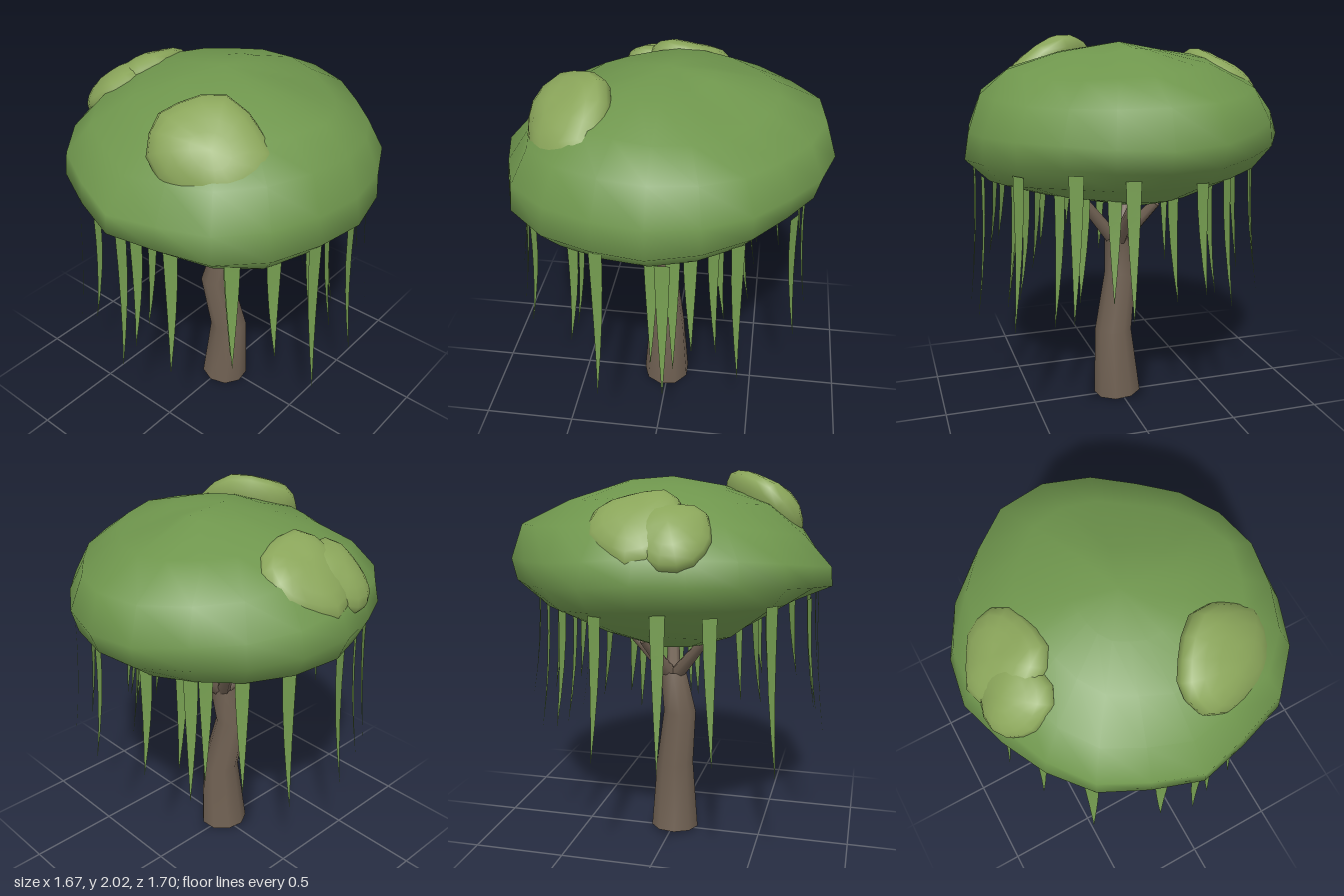
import * as THREE from 'three';
import { mergeVertices } from 'three/addons/utils/BufferGeometryUtils.js';

const mat = (color, side = THREE.FrontSide) => new THREE.MeshStandardMaterial({ color, side });
const BARK = mat(0x6f6052, THREE.DoubleSide);
const LEAF = mat(0x6f964d);
const LIGHT_LEAF = mat(0x8aa55a);
const STRAND = mat(0x759d50, THREE.DoubleSide);

function add(parent, name, geometry, material) {
  const mesh = new THREE.Mesh(geometry, material);
  mesh.name = name;
  parent.add(mesh);
  return mesh;
}

// Weld seams and give smooth normals
function smooth(geometry) {
  geometry.deleteAttribute('uv');
  geometry.deleteAttribute('normal');
  const welded = mergeVertices(geometry, 1e-4);
  welded.computeVertexNormals();
  return welded;
}

// Canopy outline seen from above: radius every 18 degrees from +x towards +z
const OUTLINE = [0.83, 0.83, 0.86, 0.87, 0.83, 0.85, 0.81, 0.82, 0.8, 0.8,
  0.84, 0.84, 0.82, 0.81, 0.86, 0.85, 0.82, 0.79, 0.81, 0.82];
const TOP = [0, 2], BOTTOM = [0, 1.14];
// Canopy profiles, top to bottom, as [radius fraction, height], every 45 degrees from +x towards +z
const PROFILES = [
  [[0.4, 1.95], [0.72, 1.87], [0.89, 1.75], [0.97, 1.56], [1, 1.42], [0.85, 1.3], [0.6, 1.24], [0.25, 1.2]],
  [[0.35, 1.95], [0.66, 1.87], [0.88, 1.75], [0.98, 1.57], [1, 1.42], [0.88, 1.31], [0.6, 1.21], [0.25, 1.15]],
  [[0.3, 1.94], [0.6, 1.86], [0.83, 1.7], [0.99, 1.55], [1, 1.45], [0.76, 1.36], [0.45, 1.22], [0.22, 1.13]],
  [[0.28, 1.95], [0.55, 1.89], [0.82, 1.78], [0.98, 1.64], [1, 1.52], [0.92, 1.41], [0.58, 1.21], [0.3, 1.13]],
  [[0.24, 1.96], [0.48, 1.93], [0.72, 1.83], [0.93, 1.67], [1, 1.55], [0.93, 1.42], [0.6, 1.25], [0.27, 1.13]],
  [[0.28, 1.96], [0.62, 1.89], [0.92, 1.77], [1, 1.6], [1, 1.48], [0.87, 1.36], [0.52, 1.22], [0.25, 1.15]],
  [[0.27, 1.98], [0.65, 1.87], [0.93, 1.75], [1, 1.56], [0.95, 1.45], [0.76, 1.34], [0.5, 1.23], [0.25, 1.17]],
  [[0.3, 1.94], [0.66, 1.84], [0.89, 1.73], [1, 1.58], [0.98, 1.46], [0.85, 1.35], [0.55, 1.25], [0.25, 1.18]],
].map((inner) => [TOP, ...inner, BOTTOM]);

function canopyGeometry() {
  const cols = OUTLINE.length, rows = PROFILES[0].length - 1, sectors = PROFILES.length;
  const g = new THREE.SphereGeometry(1, cols, rows);
  const p = g.attributes.position;
  for (let i = 0; i < p.count; i++) {
    const row = Math.floor(i / (cols + 1));
    // sphere columns run from -x through +z to +x
    const step = (cols + cols / 2 - (i % (cols + 1))) % cols;
    const angle = (step / cols) * Math.PI * 2;
    const sector = (step / cols) * sectors, k = Math.floor(sector);
    const a = PROFILES[k][row], b = PROFILES[(k + 1) % sectors][row];
    const r = THREE.MathUtils.lerp(a[0], b[0], sector - k) * OUTLINE[step];
    p.setXYZ(i, r * Math.cos(angle), THREE.MathUtils.lerp(a[1], b[1], sector - k), r * Math.sin(angle));
  }
  return smooth(g);
}

// Flattened lumpy tuft lying on the canopy
function addTuft(parent, centre, normal, halfSize, phase) {
  const g = smooth(new THREE.SphereGeometry(1, 16, 10));
  const p = g.attributes.position;
  const v = new THREE.Vector3();
  for (let i = 0; i < p.count; i++) {
    v.fromBufferAttribute(p, i);
    const lump = 1 + 0.09 * Math.sin(3 * v.x + phase) * Math.cos(4 * v.z + phase) + 0.06 * Math.sin(5 * v.z - 2 * v.x);
    v.multiplyScalar(lump);
    p.setXYZ(i, v.x * halfSize[0], v.y * halfSize[1], v.z * halfSize[2]);
  }
  g.computeVertexNormals();
  const tuft = add(parent, 'leafTuft', g, LIGHT_LEAF);
  tuft.position.set(...centre);
  tuft.quaternion.setFromUnitVectors(new THREE.Vector3(0, 1, 0), new THREE.Vector3(...normal).normalize());
}

// Trunk rings, bottom to top: [x, y, z, radius]
const TRUNK = [[0.01, 0, 0.01, 0.134], [0.034, 0.4, 0.005, 0.104], [-0.02, 0.72, 0.045, 0.09], [0.01, 0.94, 0, 0.072]];

function trunkGeometry() {
  const g = new THREE.CylinderGeometry(1, 1, 1, 9, TRUNK.length - 1, true);
  const p = g.attributes.position;
  for (let i = 0; i < p.count; i++) {
    const [x, y, z, r] = TRUNK[Math.round((p.getY(i) + 0.5) * (TRUNK.length - 1))];
    // the foot is cut slightly askew
    const cut = y === 0 ? 0.01 * (1 - p.getX(i)) : 0;
    p.setXYZ(i, x + p.getX(i) * r, y + cut, z + p.getZ(i) * r);
  }
  return smooth(g);
}

function addBranch(parent, from, to) {
  const a = new THREE.Vector3(...from), b = new THREE.Vector3(...to);
  const dir = b.clone().sub(a);
  const branch = add(parent, 'branch', new THREE.CylinderGeometry(0.026, 0.042, dir.length(), 7), BARK);
  branch.position.copy(a).add(b).multiplyScalar(0.5);
  branch.quaternion.setFromUnitVectors(new THREE.Vector3(0, 1, 0), dir.normalize());
}

// Hanging strands: [x, z, top, tip]
const STRANDS = [
  // front
  [-0.48, 0.6, 1.42, 0.56], [-0.17, 0.75, 1.41, 0.83], [0.02, 0.78, 1.42, 0.63], [0.1, 0.76, 1.4, 0.8],
  [0.27, 0.71, 1.38, 0.69], [0.54, 0.59, 1.38, 0.8], [-0.04, 0.52, 1.31, 0.7], [0.37, 0.4, 1.28, 0.65],
  // left side
  [0.75, 0.24, 1.41, 0.54], [0.62, 0.38, 1.32, 0.77], [0.57, 0.01, 1.26, 0.62], [0.75, -0.07, 1.34, 0.58],
  [0.6, -0.1, 1.3, 0.62], [0.55, -0.18, 1.29, 0.7], [0.4, -0.28, 1.29, 0.57], [0.63, -0.41, 1.4, 0.62],
  // back
  [0.28, -0.3, 1.27, 0.7], [0.41, -0.66, 1.44, 0.74], [0.15, -0.41, 1.28, 0.72], [0.15, -0.71, 1.41, 0.74],
  [-0.15, -0.43, 1.3, 0.7], [-0.34, -0.44, 1.33, 0.73], [-0.2, -0.69, 1.41, 0.82], [-0.38, -0.57, 1.38, 0.7],
  // right side
  [-0.72, 0.1, 1.4, 0.64], [-0.68, -0.22, 1.38, 0.64], [-0.63, 0.33, 1.38, 0.66], [-0.57, -0.42, 1.41, 0.78],
];

// Flat blade facing outwards, tapering to a point and bowing out slightly
function strandGeometry(length) {
  const g = new THREE.PlaneGeometry(1, 1, 1, 4);
  const p = g.attributes.position;
  for (let i = 0; i < p.count; i++) {
    const t = 0.5 - p.getY(i);
    p.setXYZ(i, p.getX(i) * 0.074 * (1 - 0.98 * t ** 1.4), -t * length, 0.055 * t * t);
  }
  g.computeVertexNormals();
  return g;
}

export function createModel() {
  const tree = new THREE.Group();
  tree.name = 'tree';

  add(tree, 'trunk', trunkGeometry(), BARK);
  const fork = [0.01, 0.9, 0];
  for (const tip of [[0.26, 1.22, -0.06], [-0.13, 1.16, 0.21], [-0.17, 1.15, -0.12], [0, 1.2, -0.28]]) {
    addBranch(tree, fork, tip);
  }

  add(tree, 'canopy', canopyGeometry(), LEAF);
  addTuft(tree, [0.3, 1.79, 0.45], [0.48, 0.64, 0.58], [0.31, 0.14, 0.26], 0.5);
  addTuft(tree, [-0.58, 1.78, -0.03], [-0.62, 0.78, -0.03], [0.24, 0.1, 0.24], 2);
  addTuft(tree, [-0.61, 1.75, 0.13], [-0.64, 0.76, 0.1], [0.21, 0.1, 0.21], 4);

  const strands = new THREE.Group();
  strands.name = 'hangingStrands';
  tree.add(strands);
  for (const [x, z, top, tip] of STRANDS) {
    const strand = add(strands, 'strand', strandGeometry(top - tip), STRAND);
    strand.position.set(x, top, z);
    strand.rotation.y = Math.atan2(x, z);
  }
  return tree;
}
